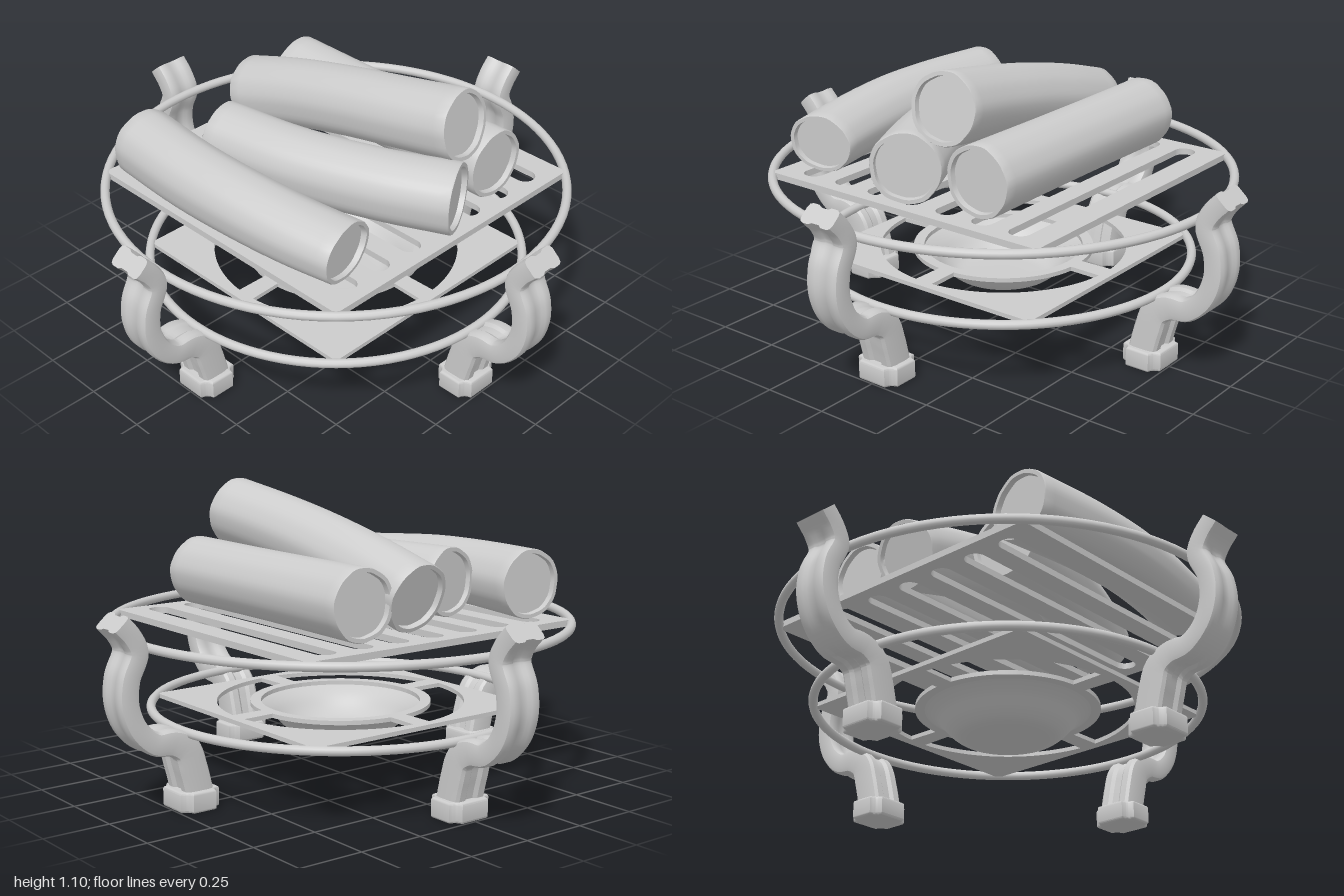
import * as THREE from 'three';
import { toCreasedNormals } from 'three/addons/utils/BufferGeometryUtils.js';

const material = new THREE.MeshStandardMaterial({ color: 0xcccccc });
const thin = new THREE.MeshStandardMaterial({ color: 0xcccccc, side: THREE.DoubleSide });
const V = (x, y, z) => new THREE.Vector3(x, y, z);

function add(parent, name, geometry, mat = material) {
  const mesh = new THREE.Mesh(geometry, mat);
  mesh.name = name;
  parent.add(mesh);
  return mesh;
}

// Sweeps a closed section along a curve. Each station is [t, side scale, normal scale].
function sweep(curve, section, stations, sideOf) {
  const pos = [], idx = [], n = section.length;
  stations.forEach(([t, a, b], i) => {
    const p = curve.getPointAt(t), T = curve.getTangentAt(t);
    const side = sideOf(T), up = T.clone().cross(side).normalize();
    section.forEach(([s, u], j) => {
      const q = p.clone().addScaledVector(side, s * a).addScaledVector(up, u * b);
      pos.push(q.x, q.y, q.z);
      if (i === 0) return;
      const k = (j + 1) % n, lo = (i - 1) * n, hi = i * n;
      idx.push(lo + j, lo + k, hi + j, lo + k, hi + k, hi + j);
    });
  });
  const g = new THREE.BufferGeometry();
  g.setAttribute('position', new THREE.Float32BufferAttribute(pos, 3));
  g.setIndex(idx);
  return toCreasedNormals(g, 0.6);
}

// Log: bent cylinder with a raised rim around a recessed face at each end
function logGeometry(points, frontSquash = 1) {
  const curve = new THREE.CatmullRomCurve3(points.map(p => V(...p)));
  const R = 0.13, section = [], stations = [];
  for (let i = 0; i < 48; i++) {
    const a = i / 48 * Math.PI * 2;
    const r = 1 + 0.012 * Math.sin(a * 5 + 1) + 0.006 * Math.sin(a * 11);
    section.push([Math.cos(a) * r, Math.sin(a) * r]);
  }
  const put = (t, s) => stations.push([t, s * R, s * R * (1 + (frontSquash - 1) * t * t)]);
  put(0.02, 0); put(0.02, 0.85); put(0, 0.87); put(0, 0.98);
  for (let i = 0; i <= 24; i++) put(0.006 + i / 24 * 0.988, 1 - 0.02 * Math.sin(i / 24 * Math.PI));
  put(1, 0.98); put(1, 0.87); put(0.98, 0.85); put(0.98, 0);
  return sweep(curve, section, stations, T => V(0, 1, 0).cross(T).normalize());
}

// Leg: S-curved bar with a shallow groove on both broad faces
function legGeometry() {
  const curve = new THREE.CatmullRomCurve3([
    [0.663, 0.04], [0.69, 0.15], [0.717, 0.225], [0.77, 0.257], [0.84, 0.265], [0.905, 0.32],
    [0.94, 0.41], [0.935, 0.5], [0.9, 0.59], [0.923, 0.645], [0.967, 0.695],
  ].map(([x, y]) => V(x, y, 0)));
  const quarter = [[1, 0.5], [0.94, 0.85], [0.78, 1], [0.4, 1], [0.22, 0.8]];
  const mirrored = quarter.map(([s, u]) => [-s, u]).reverse();
  const half = [...quarter, ...mirrored];
  const section = [...half, ...half.map(([s, u]) => [-s, -u])];
  const stations = [[0, 0, 0]];
  for (let i = 0; i <= 60; i++) {
    const t = i / 60;
    stations.push([t, 0.07, 0.055 - 0.017 * THREE.MathUtils.smoothstep(t, 0.15, 0.5)]);
  }
  stations.push([1, 0, 0]);
  return sweep(curve, section, stations, () => V(0, 0, 1));
}

// Foot: block with scooped corners
function footGeometry() {
  const w = 0.07, d = 0.082, c = 0.03, s = new THREE.Shape();
  s.moveTo(w, -d + c);
  s.lineTo(w, d - c);
  s.quadraticCurveTo(w - c * 0.8, d - c * 0.8, w - c, d);
  s.lineTo(-w + c, d);
  s.quadraticCurveTo(-w + c * 0.8, d - c * 0.8, -w, d - c);
  s.lineTo(-w, -d + c);
  s.quadraticCurveTo(-w + c * 0.8, -d + c * 0.8, -w + c, -d);
  s.lineTo(w - c, -d);
  s.quadraticCurveTo(w - c * 0.8, -d + c * 0.8, w, -d + c);
  const g = new THREE.ExtrudeGeometry(s, {
    depth: 0.056, bevelSize: 0.009, bevelThickness: 0.009, bevelSegments: 3, curveSegments: 8,
  });
  return toCreasedNormals(g.rotateX(-Math.PI / 2).translate(0.67, 0.009, 0), 0.6);
}

function squareShape(h) {
  return new THREE.Shape([[-h, -h], [h, -h], [h, h], [-h, h]].map(p => new THREE.Vector2(...p)));
}

function plate(shape, y, depth) {
  return new THREE.ExtrudeGeometry(shape, { depth, bevelEnabled: false, curveSegments: 24 })
    .rotateX(-Math.PI / 2).translate(0, y, 0);
}

export function createModel() {
  const model = new THREE.Group();
  model.name = 'firePit';

  // Four legs with feet
  const legGeo = legGeometry(), footGeo = footGeometry();
  for (let i = 0; i < 4; i++) {
    const leg = new THREE.Group();
    leg.name = 'leg' + (i + 1);
    add(leg, 'legBar', legGeo);
    add(leg, 'foot', footGeo);
    leg.rotation.y = i * Math.PI / 2;
    model.add(leg);
  }

  // Support rings
  for (const [name, r, y] of [['upperRing', 0.853, 0.6], ['lowerRing', 0.71, 0.283]]) {
    add(model, name, new THREE.TorusGeometry(r, 0.017, 12, 96).rotateX(Math.PI / 2).translate(0, y, 0));
  }

  // Slotted grate
  const grate = squareShape(0.605);
  for (let i = -3; i <= 3; i++) {
    const slot = new THREE.Path(), x = i * 0.157, r = 0.04, e = 0.515;
    slot.absarc(x, e, r, 0, Math.PI, false);
    slot.absarc(x, -e, r, Math.PI, Math.PI * 2, false);
    slot.closePath();
    grate.holes.push(slot);
  }
  add(model, 'grate', plate(grate, 0.59, 0.024));

  // Lower plate with four curved openings around the ash bowl
  const base = squareShape(0.5);
  for (let i = 0; i < 4; i++) {
    const a = i * Math.PI / 2, hole = new THREE.Path();
    hole.absarc(0, 0, 0.465, a + 0.08, a + Math.PI / 2 - 0.08, false);
    hole.absarc(0, 0, 0.34, a + Math.PI / 2 - 0.1, a + 0.1, true);
    hole.closePath();
    base.holes.push(hole);
  }
  const bowlOpening = new THREE.Path();
  bowlOpening.absarc(0, 0, 0.3, 0, Math.PI * 2, false);
  base.holes.push(bowlOpening);
  add(model, 'lowerPlate', plate(base, 0.275, 0.016));

  // Ash bowl
  const bowl = new THREE.SplineCurve([
    [0, 0.165], [0.1, 0.165], [0.17, 0.17], [0.215, 0.198], [0.26, 0.245], [0.305, 0.275], [0.335, 0.28],
  ].map(p => new THREE.Vector2(...p))).getPoints(30);
  bowl[0].x = 0;
  add(model, 'ashBowl', new THREE.LatheGeometry(bowl, 64), thin);

  // Stacked logs, each running from back to front
  add(model, 'rightLog', logGeometry([[0.29, 0.748, -0.5], [0.29, 0.748, 0], [0.29, 0.748, 0.52]]));
  add(model, 'topLog', logGeometry([
    [0.05, 0.745, -0.5], [0.068, 0.815, -0.27], [0.083, 0.88, 0], [0.1, 0.925, 0.24], [0.13, 0.968, 0.5],
  ]));
  add(model, 'middleLog', logGeometry([
    [-0.265, 0.75, -0.32], [-0.21, 0.752, 0], [-0.1, 0.752, 0.32], [0.022, 0.752, 0.575],
  ]));
  add(model, 'leftLog', logGeometry([
    [-0.495, 0.742, -0.5], [-0.52, 0.745, -0.2], [-0.518, 0.745, 0.05], [-0.49, 0.735, 0.3], [-0.45, 0.727, 0.505],
  ], 0.82));

  return model;
}
